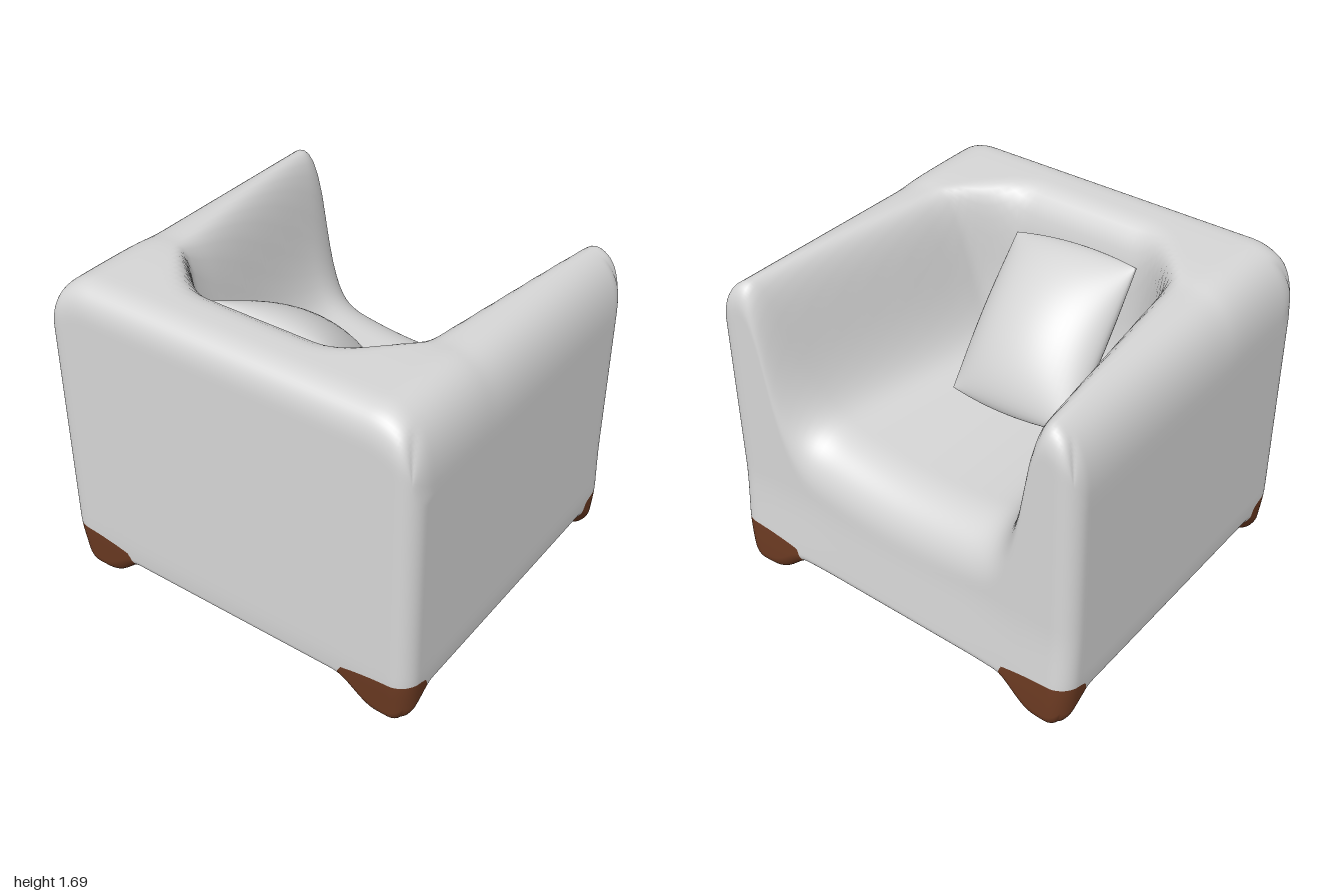
import * as THREE from 'three';
import { mergeVertices } from 'three/addons/utils/BufferGeometryUtils.js';

const fabric = new THREE.MeshStandardMaterial({ color: 0xd6d6d6 });
fabric.name = 'greyFabric';
const wood = new THREE.MeshStandardMaterial({ color: 0x6b3a22 });
wood.name = 'brownFeet';

const HX = 1, HZ = 0.91, SEAT = 0.84, CREST = 1.69;
const { lerp, smoothstep, clamp } = THREE.MathUtils;

// Wall amount: 0 on the seat, 1 on the crest of the U-shaped back and arms
function wallAmount(x, z) {
  const r = 0.22;
  const a = Math.abs(x) - (0.61 - 0.14 * z) + r;
  const b = z - 0.62 + r;
  const d = Math.min(Math.max(a, b), 0) + Math.hypot(Math.max(a, 0), Math.max(b, 0)) - r;
  if (d < 0) return 0.6 * clamp((d + 0.4) / 0.4, 0, 1) ** 5;
  return 1 - 0.4 * clamp((0.16 - d) / 0.16, 0, 1) ** 3;
}

// Height of the upholstered top, rounded over towards all four sides
function topHeight(x, z, w) {
  const crest = CREST - 0.02 * (1 - smoothstep(z, 0.2, 0.8));
  const y = lerp(SEAT + 0.22 * x * x, crest, w);
  const widthZ = z > 0 ? 0.11 : lerp(0.3, 0.09, w);
  const heightZ = z > 0 ? 0.18 : lerp(0.3, 0.13, w);
  const tx = clamp(1 - (HX - Math.abs(x)) / 0.25, 0, 1);
  const tz = clamp(1 - (HZ - Math.abs(z)) / widthZ, 0, 1);
  const height = (0.38 * tx * tx + heightZ * tz * tz) / (tx * tx + tz * tz + 1e-6);
  const curve = t => Math.pow(1 - Math.pow(t, 2.4), 1 / 2.4);
  return y - height * (1 - curve(tx) * curve(tz));
}

// Underside, swelling down into a foot at each corner
function bottomHeight(x, z) {
  const d = Math.hypot((Math.abs(x) - 0.87) / 0.28, (Math.abs(z) - 0.86) / 0.19);
  const foot = 1 - smoothstep(d, 0.2, 1);
  const t = clamp(1 - Math.min(HX - Math.abs(x), HZ - Math.abs(z)) / 0.08, 0, 1);
  return 0.13 * (1 - foot) + 0.07 * (1 - Math.sqrt(1 - t * t));
}

// Rounds the vertical corners in plan
function roundPlan(x, z, r) {
  const px = (Math.abs(x) - HX + r) / r, pz = (Math.abs(z) - HZ + r) / r;
  if (px <= 0 || pz <= 0) return [x, z];
  const s = Math.max(px, pz) / Math.hypot(px, pz);
  return [Math.sign(x) * (HX - r + px * s * r), Math.sign(z) * (HZ - r + pz * s * r)];
}

// A box with shared corners, so that it shades smoothly
function smoothBox(nx, ny, nz) {
  const geo = new THREE.BoxGeometry(2, 2, 2, nx, ny, nz);
  geo.deleteAttribute('uv');
  geo.deleteAttribute('normal');
  return mergeVertices(geo, 1e-5);
}

function bodyGeometry() {
  const geo = smoothBox(84, 36, 84);
  const p = geo.attributes.position;
  for (let i = 0; i < p.count; i++) {
    const x = HX * Math.sin(p.getX(i) * Math.PI / 2);
    const z = HZ * Math.sin(p.getZ(i) * Math.PI / 2);
    const w = wallAmount(x, z), level = (p.getY(i) + 1) / 2;
    const y = lerp(bottomHeight(x, z), topHeight(x, z, w), level);
    let [nx, nz] = roundPlan(x, z, 0.1);
    // the inside of the back stands nearly upright
    if (level === 1) nz -= 0.16 * w * smoothstep(HZ - z, 0, 0.3) * smoothstep(z, 0.2, 0.6);
    // the open side leans in above the feet; the hem tucks under
    const tuck = 1 - 0.02 * (1 - smoothstep(y, 0, 0.3));
    if (z < 0) nz *= 1 - 0.03 * smoothstep(y, 0.1, 0.6) - 0.02 * (1 - smoothstep(Math.abs(x), 0.4, 0.95));
    else nz *= tuck;
    p.setXYZ(i, nx * tuck, y, nz);
  }
  geo.computeVertexNormals();
  return geo;
}

// Positive on the four corner patches that form the feet
function footField(v) {
  const a = Math.max(0, HX - Math.abs(v.x)), b = Math.max(0, HZ - Math.abs(v.z));
  const up = 0.3 * Math.max(0, v.y - 0.11);
  const top = 0.268 - v.y - 0.35 * (a * a + 4.5 * b * b);
  const side = 1 - Math.cbrt(((a + up) / 0.4) ** 3 + ((b + up) / 0.2) ** 3);
  return Math.min(top * 4, side);
}

// Keeps the part of a geometry where sign * field is positive, cutting along the border
function clipGeometry(geo, field, sign) {
  const pos = geo.attributes.position, nor = geo.attributes.normal, idx = geo.index.array;
  const points = [], normals = [];
  const corner = i => {
    const p = new THREE.Vector3().fromBufferAttribute(pos, i);
    return { p, n: new THREE.Vector3().fromBufferAttribute(nor, i), f: sign * field(p) };
  };
  for (let i = 0; i < idx.length; i += 3) {
    const tri = [corner(idx[i]), corner(idx[i + 1]), corner(idx[i + 2])], poly = [];
    tri.forEach((c, k) => {
      const next = tri[(k + 1) % 3];
      if (c.f >= 0) poly.push(c);
      if (c.f >= 0 !== next.f >= 0) {
        const t = c.f / (c.f - next.f);
        poly.push({ p: c.p.clone().lerp(next.p, t), n: c.n.clone().lerp(next.n, t).normalize() });
      }
    });
    for (let k = 2; k < poly.length; k++)
      for (const c of [poly[0], poly[k - 1], poly[k]]) {
        points.push(c.p.x, c.p.y, c.p.z);
        normals.push(c.n.x, c.n.y, c.n.z);
      }
  }
  const out = new THREE.BufferGeometry();
  out.setAttribute('position', new THREE.Float32BufferAttribute(points, 3));
  out.setAttribute('normal', new THREE.Float32BufferAttribute(normals, 3));
  return out;
}

// Square cushion, puffed in the middle and thin at the seams
function pillowGeometry() {
  const geo = smoothBox(28, 28, 1);
  const p = geo.attributes.position;
  for (let i = 0; i < p.count; i++) {
    const u = Math.sin(p.getX(i) * Math.PI / 2), v = Math.sin(p.getY(i) * Math.PI / 2);
    const puff = 0.006 + 0.18 * Math.pow(Math.max(0, (1 - u * u) * (1 - v * v)), 0.6);
    p.setXYZ(i, u * 0.345, v * (0.41 + 0.03 * (1 - u * u)), p.getZ(i) * puff);
  }
  geo.computeVertexNormals();
  return geo;
}

export function createModel() {
  const group = new THREE.Group();
  group.name = 'armchair';
  const add = (name, geo, material) => {
    const mesh = new THREE.Mesh(geo, material);
    mesh.name = name;
    group.add(mesh);
    return mesh;
  };

  const body = bodyGeometry();
  add('upholsteredBody', clipGeometry(body, footField, -1), fabric);
  add('feet', clipGeometry(body, footField, 1), wood);

  // pillow leaning against the back
  const pillow = add('pillow', pillowGeometry(), fabric);
  pillow.position.set(-0.055, 1.23, 0.185);
  pillow.rotation.set(0.76, 0, -0.07, 'ZXY');
  return group;
}
